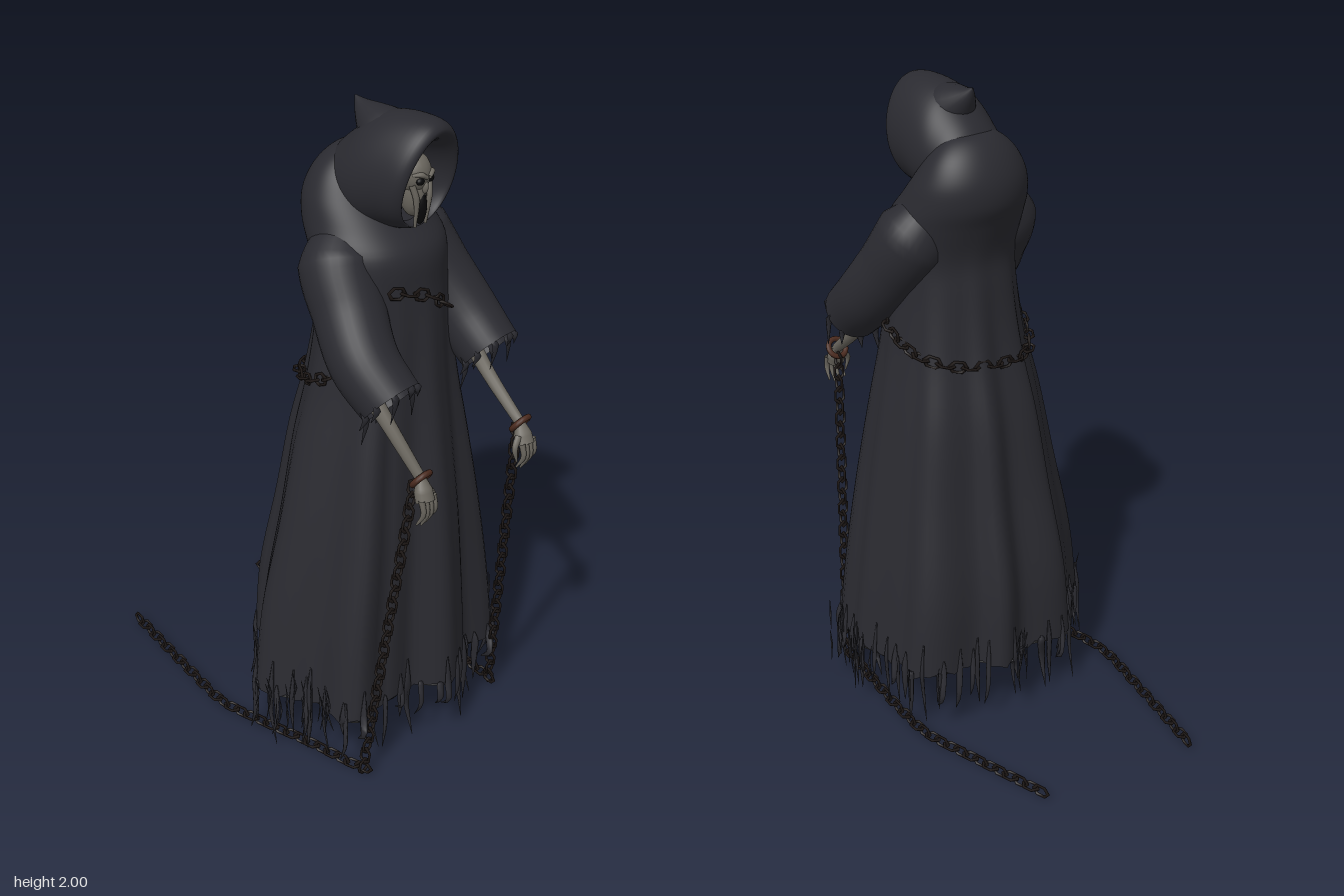
import * as THREE from 'three';
import { mergeGeometries } from 'three/addons/utils/BufferGeometryUtils.js';

const V = (x, y, z) => new THREE.Vector3(x, y, z);
const mat = (color) => new THREE.MeshStandardMaterial({ color, roughness: 0.9, side: THREE.DoubleSide });
let seed = 7;
const rand = (a = 0, b = 1) => {
  seed = (seed * 16807) % 2147483647;
  return a + (b - a) * (seed / 2147483647);
};

// Skin a list of closed rings (equal point counts).
function loft(rings) {
  const n = rings[0].length, pos = [], idx = [];
  rings.forEach((r) => r.forEach((p) => pos.push(p.x, p.y, p.z)));
  for (let i = 0; i < rings.length - 1; i++)
    for (let j = 0; j < n; j++) {
      const a = i * n + j, b = i * n + ((j + 1) % n);
      idx.push(a, a + n, b, b, a + n, b + n);
    }
  const g = new THREE.BufferGeometry();
  g.setAttribute('position', new THREE.Float32BufferAttribute(pos, 3));
  g.setIndex(idx);
  g.computeVertexNormals();
  return g;
}

// Resample rings along smooth columns.
function smooth(rings, steps) {
  const cols = rings[0].map((_, j) => new THREE.CatmullRomCurve3(rings.map((r) => r[j])));
  return Array.from({ length: steps + 1 }, (_, i) => cols.map((c) => c.getPoint(i / steps)));
}

// Tapered tube through points with one radius per point.
function limb(points, radii, steps = 8, sides = 8, flat = 1) {
  const curve = new THREE.CatmullRomCurve3(points);
  const fr = curve.computeFrenetFrames(steps, false);
  const rings = [];
  for (let i = 0; i <= steps; i++) {
    const t = i / steps, u = t * (radii.length - 1), k = Math.min(Math.floor(u), radii.length - 2);
    const r = THREE.MathUtils.lerp(radii[k], radii[k + 1], u - k), c = curve.getPoint(t), ring = [];
    for (let j = 0; j < sides; j++) {
      const a = (j / sides) * Math.PI * 2;
      ring.push(c.clone().addScaledVector(fr.normals[i], Math.cos(a) * r).addScaledVector(fr.binormals[i], Math.sin(a) * r * flat));
    }
    rings.push(ring);
  }
  return loft(rings);
}

// Interlocking hexagonal links along a path.
function chain(points) {
  const curve = new THREE.CatmullRomCurve3(points);
  const n = Math.round(curve.getLength() / 0.039), parts = [];
  for (let i = 0; i <= n; i++) {
    const p = curve.getPointAt(i / n), t = curve.getTangentAt(i / n);
    const ref = Math.abs(t.y) < 0.8 ? V(0, 1, 0) : V(0, 0, 1);
    const side = ref.cross(t).normalize(), up = V(0, 0, 0).crossVectors(t, side);
    const m = i % 2 ? new THREE.Matrix4().makeBasis(t, side, up) : new THREE.Matrix4().makeBasis(t, up, side.negate());
    parts.push(new THREE.TorusGeometry(0.0185, 0.0045, 5, 6).scale(1.45, 1, 1).applyMatrix4(m.setPosition(p)));
  }
  return mergeGeometries(parts);
}

// Hem outline seen from above (x, z) gives the robe its folds.
const hem = [[0.37, 0.15], [0.38, 0.25], [0.36, 0.36], [0.3, 0.45], [0.17, 0.43], [0.09, 0.49], [0, 0.51], [-0.1, 0.43],
  [-0.22, 0.42], [-0.33, 0.44], [-0.36, 0.25], [-0.42, 0.1], [-0.32, 0], [-0.22, -0.06], [-0.2, -0.14], [-0.03, -0.115],
  [0.08, -0.16], [0.14, -0.1], [0.34, -0.04], [0.34, 0.06]]
  .map(([x, z]) => [x / 0.39, (z - 0.17) / 0.335])
  .map(([x, z]) => ({ a: (Math.atan2(z, x) + Math.PI * 2) % (Math.PI * 2), r: Math.hypot(x, z) }))
  .sort((p, q) => p.a - q.a);
function foldRadius(a) {
  const T = Math.PI * 2;
  a = ((a % T) + T) % T;
  let k = hem.findIndex((p) => p.a > a);
  if (k < 0) k = 0;
  const p = hem[(k + hem.length - 1) % hem.length], q = hem[k];
  const u = ((a - p.a + T) % T) / ((q.a - p.a + T) % T);
  return THREE.MathUtils.lerp(p.r, q.r, (1 - Math.cos(u * Math.PI)) / 2);
}

// Robe rows: y, half width, back z, front z, fold strength.
const rows = [[0.2, 0.39, -0.165, 0.505, 1], [0.45, 0.36, -0.155, 0.49, 0.95], [0.75, 0.31, -0.1, 0.465, 0.8],
  [1.0, 0.265, -0.06, 0.435, 0.65], [1.2, 0.225, -0.012, 0.41, 0.45], [1.4, 0.2, 0.02, 0.39, 0.22], [1.5, 0.2, 0.03, 0.378, 0.1],
  [1.61, 0.21, 0, 0.365, 0], [1.68, 0.195, -0.028, 0.31, 0], [1.75, 0.175, -0.027, 0.25, 0], [1.82, 0.135, 0.005, 0.2, 0],
  [1.865, 0.08, 0.05, 0.17, 0], [1.88, 0.005, 0.1, 0.12, 0]];
function robePoint(a, [y, hw, zb, zf, f], s = 1) {
  const r = s * (1 + f * (foldRadius(a) - 1) + f * 0.012 * Math.sin(13 * a));
  return V(Math.cos(a) * r * hw, y, (zb + zf) / 2 + (Math.sin(a) * r * (zf - zb)) / 2);
}
function robeAt(deg, y, s = 1.04) {
  const k = Math.max(0, rows.findIndex((r) => r[0] > y) - 1), u = (y - rows[k][0]) / (rows[k + 1][0] - rows[k][0]);
  return robePoint((deg * Math.PI) / 180, rows[k].map((v, i) => THREE.MathUtils.lerp(v, rows[k + 1][i], u)), s);
}

export function createModel() {
  const model = new THREE.Group();
  const cloth = mat(0x2a2a30), dark = mat(0x08080a), bone = mat(0x6b675f), iron = mat(0x1d1715), rust = mat(0x4a2a1e);
  const add = (name, geo, material) => {
    const m = new THREE.Mesh(geo, material);
    m.name = name;
    model.add(m);
    return m;
  };
  const N = 96, angles = Array.from({ length: N }, (_, i) => (i / N) * Math.PI * 2);

  // Robe, with the hem turned inwards underneath
  const robe = smooth(rows.map((r) => angles.map((a) => robePoint(a, r))), 60);
  robe[0].forEach((p, j) => (p.y += 0.015 * Math.sin(j * 1.9) * Math.sin(j * 0.7)));
  add('robe', loft(robe), cloth);
  const under = [[0.2, 1], [0.23, 0.85], [0.26, 0.5], [0.34, 0.12]];
  add('hemLining', loft(under.map(([y, s]) => angles.map((a) => robePoint(a, [y, ...rows[0].slice(1)], s * 0.995)))), dark);

  // Tattered strips around the hem, and thin loose threads
  const strips = [];
  for (let i = 0; i < 64; i++) {
    const deg = (i / 64) * 360 + rand(-3, 3), top = rand(0.2, 0.32), len = rand(0.07, 0.2), p = robeAt(deg, top, 1.01);
    const w = rand(0.008, 0.016), out = robeAt(deg, 0.21, 1.01), d = rand(-0.025, 0.025);
    strips.push(limb([p, out, V(out.x + d, 0.21 - len * 0.5, out.z - d), V(out.x + d * 0.3, 0.21 - len, out.z + d)],
      [0.003, w, w * 0.8, 0.001], 8, 5, 0.6));
  }
  [[0, 8], [18, 8], [180, 8], [160, 8], [270, 6], [320, 3], [215, 3]].forEach(([deg, n]) => {
    for (let i = 0; i < n; i++) {
      const p = robeAt(deg + rand(-8, 8), 0.22, rand(1.03, 1.14)), y = rand(0.2, 0.33);
      strips.push(limb([V(p.x, y, p.z), V(p.x + rand(-0.01, 0.01), y - 0.06, p.z + 0.008), V(p.x, y - rand(0.1, 0.16), p.z)],
        [0.001, 0.004, 0.001], 4, 4));
    }
  });
  add('hemTatters', mergeGeometries(strips), cloth);

  // Hood: rings of centre z, centre y, half width, half height, forward tilt
  const hoodRings = [[0.27, 1.8, 0.085, 0.115, 0.02], [0.345, 1.815, 0.093, 0.125, 0.035], [0.37, 1.825, 0.108, 0.142, 0.035],
    [0.352, 1.832, 0.126, 0.157, 0.035], [0.28, 1.832, 0.137, 0.167, 0.02], [0.2, 1.815, 0.14, 0.165, 0],
    [0.14, 1.8, 0.13, 0.135, 0], [0.07, 1.78, 0.1, 0.09, 0], [0.04, 1.77, 0.03, 0.03, 0]]
    .map(([z, y, w, h, tilt]) => angles.map((a) => V(Math.cos(a) * w * (1 - 0.1 * Math.sin(a)), y + Math.sin(a) * h, z + tilt * Math.sin(a))));
  add('hood', loft(smooth(hoodRings, 36)), cloth);
  add('hoodPeak', limb([V(0, 1.89, 0.25), V(0, 1.935, 0.18), V(0, 1.968, 0.13), V(0, 2, 0.097)], [0.1, 0.068, 0.032, 0.002], 14, 20), cloth);
  add('hoodShadow', new THREE.CircleGeometry(0.125, 32).translate(0, 1.81, 0.275), dark);

  // Gaunt face: skull, cheek strips, sockets and gaping mouth
  const ball = (name, m, x, y, z, sx, sy, sz) => add(name, new THREE.SphereGeometry(1, 20, 14).scale(sx, sy, sz).translate(x, y, z), m);
  ball('skull', bone, 0, 1.832, 0.31, 0.049, 0.058, 0.05);
  ball('muzzle', bone, 0, 1.775, 0.31, 0.036, 0.07, 0.04);
  ball('nose', bone, 0, 1.8, 0.35, 0.008, 0.02, 0.012);
  ball('mouth', dark, 0, 1.74, 0.336, 0.017, 0.052, 0.02);
  for (const s of [-1, 1]) {
    ball('eyeSocket', dark, s * 0.02, 1.82, 0.351, 0.014, 0.011, 0.01);
    add('brow', limb([V(s * 0.005, 1.829, 0.362), V(s * 0.022, 1.84, 0.357), V(s * 0.04, 1.838, 0.338)], [0.006, 0.008, 0.004]), bone);
    add('cheek', limb([V(s * 0.036, 1.81, 0.335), V(s * 0.027, 1.765, 0.345), V(s * 0.022, 1.685, 0.338)], [0.009, 0.009, 0.004]), bone);
  }

  // Sleeves, arms, hands, cuffs and hanging chains: one entry per side
  const sides = [
    { name: 'left', s: 1, wrist: V(0.19, 1.075, 0.58), palm: V(0.18, 1.02, 0.608), hem: 0.212,
      foot: V(0.29, 0.03, 0.45), ground: [[0.3, 0.4], [0.325, 0.22], [0.345, 0.05], [0.35, -0.1], [0.31, -0.28], [0.245, -0.54]] },
    { name: 'right', s: -1, wrist: V(-0.205, 1.045, 0.535), palm: V(-0.212, 0.985, 0.558), hem: 0.228,
      foot: V(-0.32, 0.03, 0.44), ground: [[-0.33, 0.4], [-0.345, 0.25], [-0.375, 0.05], [-0.39, -0.1], [-0.35, -0.3], [-0.272, -0.63]] },
  ];
  for (const { name, s, wrist, palm, hem: hx, foot, ground } of sides) {
    add(name + 'Sleeve', limb([V(s * 0.09, 1.67, 0.15), V(s * 0.155, 1.57, 0.18), V(s * 0.19, 1.46, 0.25), V(s * hx, 1.35, 0.34), V(s * hx, 1.26, 0.44)],
      [0.06, 0.115, 0.105, 0.1, 0.092], 24, 32), cloth);
    add(name + 'SleeveLining', new THREE.SphereGeometry(0.088, 20, 12).scale(1, 1, 0.5).translate(s * hx, 1.32, 0.36), dark);
    for (let i = 0; i < 9; i++) {
      const a = (i / 9) * Math.PI * 2, p = V(s * hx + Math.cos(a) * 0.088, 1.255 + Math.sin(a) * 0.06, 0.44 + Math.sin(a) * 0.06);
      const len = i % 3 ? 0.035 : 0.08;
      add(name + 'SleeveTatter', limb([V(p.x, p.y + 0.02, p.z - 0.02), p, V(p.x + Math.cos(a) * 0.014, p.y - len, p.z - 0.01)], [0.004, 0.014, 0.001], 6, 5, 0.5), cloth);
    }
    add(name + 'Forearm', limb([V(s * (hx + 0.004), 1.29, 0.34), V(s * hx, 1.2, 0.42).lerp(wrist, 0.15), wrist], [0.028, 0.021, 0.016], 10, 12), bone);

    const dir = V(0, -0.62, 0.78);
    const cuff = add(name + 'Cuff', new THREE.TorusGeometry(0.03, 0.009, 8, 20), rust);
    cuff.position.copy(wrist);
    cuff.quaternion.setFromUnitVectors(V(0, 0, 1), dir);

    add(name + 'Palm', limb([wrist, wrist.clone().lerp(palm, 0.5), palm], [0.016, 0.029, 0.03], 8, 12, 0.9), bone);
    for (let i = 0; i < 4; i++) {
      const fx = palm.x + (i - 1.5) * 0.017, len = 0.08 - Math.abs(i - 1.4) * 0.01;
      add(name + 'Finger', limb([V(fx, palm.y + 0.015, palm.z + 0.008), V(fx, palm.y - len * 0.4, palm.z + 0.016),
        V(fx + (i - 1.5) * 0.003, palm.y - len, palm.z - 0.004)], [0.01, 0.008, 0.003], 8, 7), bone);
    }
    add(name + 'Thumb', limb([V(palm.x - s * 0.02, palm.y + 0.03, palm.z - 0.01), V(palm.x - s * 0.042, palm.y, palm.z - 0.005),
      V(palm.x - s * 0.035, palm.y - 0.045, palm.z)], [0.011, 0.009, 0.003], 8, 7), bone);

    const start = V(wrist.x + s * 0.01, wrist.y - 0.035, wrist.z - 0.02);
    add(name + 'HangingChain', chain([start, start.clone().lerp(foot, 0.5), foot]), iron);
    add(name + 'GroundChain', chain([V(foot.x, 0.024, foot.z), ...ground.map(([x, z]) => V(x, 0.024, z))]), iron);
  }

  // Chains bound around the chest and the back
  add('chestChain', chain([[122, 1.52], [104, 1.505], [88, 1.48], [70, 1.435]].map(([d, y]) => robeAt(d, y, 1.05))), iron);
  add('backChain', chain([[150, 1.32], [180, 1.25], [210, 1.2], [240, 1.18], [270, 1.18], [300, 1.19], [330, 1.22], [360, 1.26], [390, 1.31]]
    .map(([d, y]) => robeAt(d, y))), iron);
  return model;
}
